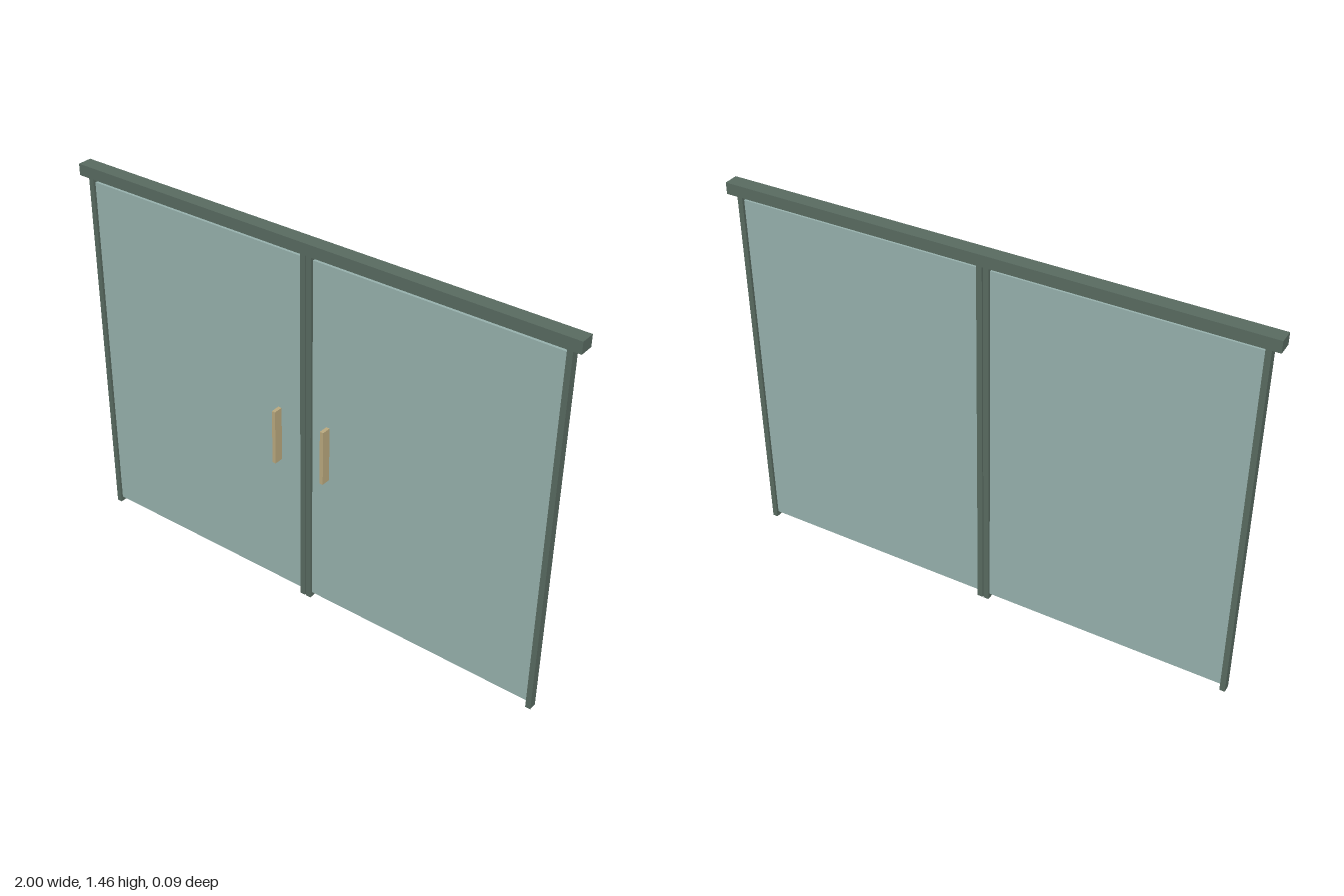
import * as THREE from 'three';

export function createModel() {
  const model = new THREE.Group();
  model.name = 'slidingGlassDoors';

  const material = (name, color) => {
    const m = new THREE.MeshStandardMaterial({ color });
    m.name = name;
    return m;
  };
  const frame = material('grey green frame', 0x586a60);
  const glass = material('pale teal glass', 0x96b0ac);
  const brass = material('brass', 0xb9a87d);

  // Box given by its lower and upper limits on each axis
  const addBox = (parent, name, mat, [x0, x1], [y0, y1], [z0, z1]) => {
    const mesh = new THREE.Mesh(new THREE.BoxGeometry(x1 - x0, y1 - y0, z1 - z0), mat);
    mesh.position.set((x0 + x1) / 2, (y0 + y1) / 2, (z0 + z1) / 2);
    mesh.name = name;
    parent.add(mesh);
  };

  // Header rail across both doors
  addBox(model, 'headerRail', frame, [-1, 1], [1.42, 1.463], [-0.045, 0.01]);

  // Two mirrored doors: glass pane, inner and outer stile, pull handle
  for (const side of [-1, 1]) {
    const door = new THREE.Group();
    door.name = side > 0 ? 'leftDoor' : 'rightDoor';
    const span = (a, b) => (side > 0 ? [a, b] : [-b, -a]);
    const stileDepth = [-0.032, -0.001];

    addBox(door, 'glassPane', glass, span(0.013, 0.957), [0.02, 1.4], [-0.0225, -0.0105]);
    addBox(door, 'innerStile', frame, span(0.002, 0.023), [0, 1.42], stileDepth);
    addBox(door, 'outerStile', frame, span(0.947, 0.967), [0, 1.42], stileDepth);
    addBox(door, 'pullHandle', brass, span(0.097, 0.111), [0.585, 0.8], [0.009, 0.045]);
    model.add(door);
  }
  return model;
}
